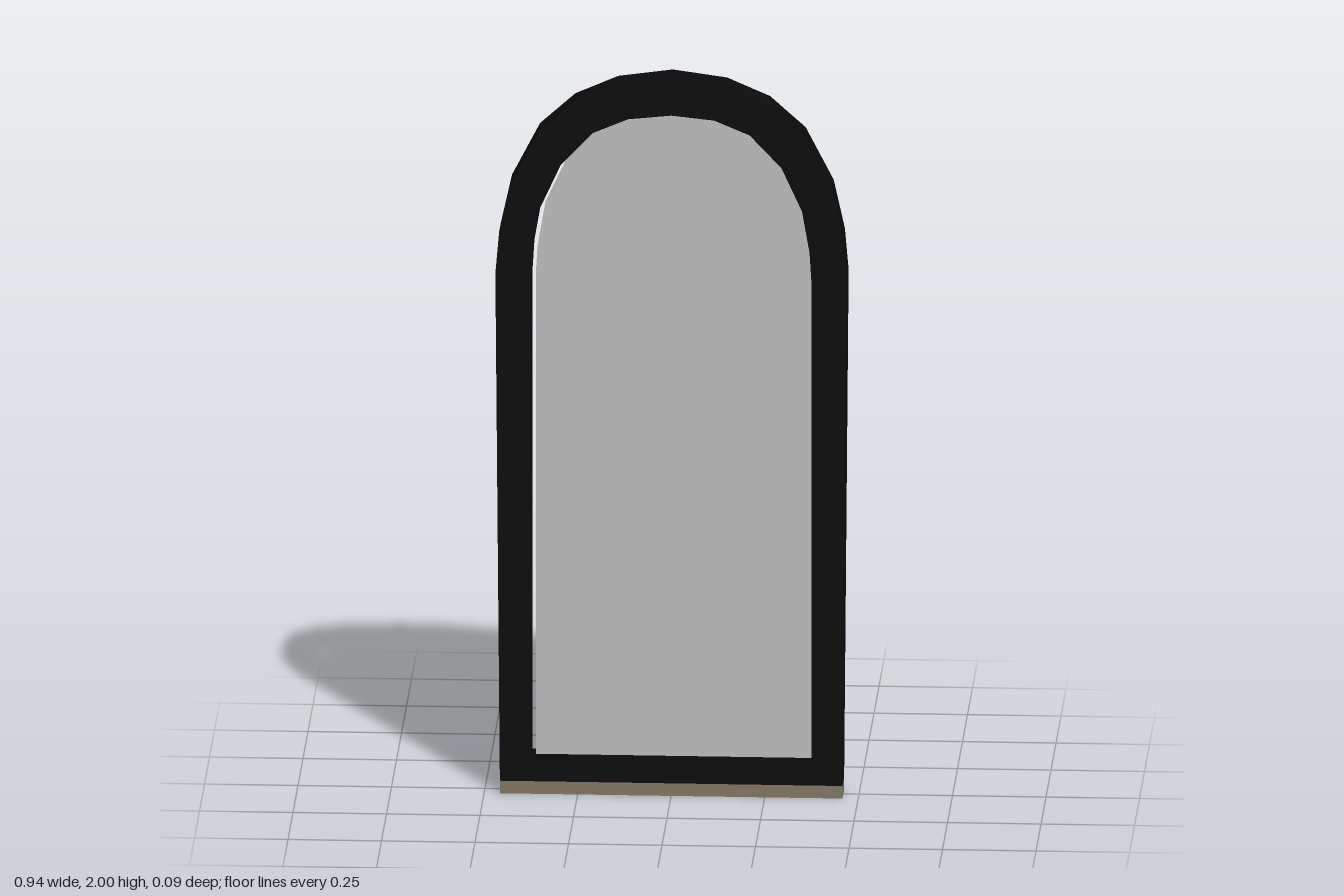
import * as THREE from 'three';

// Half outlines, from the base up to the crown of the arch
const OUTER = [[0.458, 0.035], [0.47, 1.45], [0.46, 1.565], [0.43, 1.7], [0.355, 1.845], [0.26, 1.93], [0.145, 1.98], [0, 2]];
const INNER = [[0.375, 0.1], [0.375, 1.44], [0.37, 1.52], [0.35, 1.635], [0.295, 1.755], [0.21, 1.845], [0.115, 1.885], [0, 1.897]];

// Mirror a half outline into a closed ring of points
function mirrored(half, dx = 0) {
  const right = half.map(([x, y]) => new THREE.Vector2(x + dx, y));
  const left = half.slice(0, -1).reverse().map(([x, y]) => new THREE.Vector2(-x + dx, y));
  return [...right, ...left];
}

// Flat extrusion centred on z = 0
function slab(shape, depth) {
  const geometry = new THREE.ExtrudeGeometry(shape, { depth, bevelEnabled: false });
  return geometry.translate(0, 0, -depth / 2);
}

export function createModel() {
  const group = new THREE.Group();
  const depth = 0.086;
  const frameBlack = new THREE.MeshStandardMaterial({ name: 'frame black', color: 0x0b0b0b });
  const paneGrey = new THREE.MeshStandardMaterial({ name: 'pane grey', color: 0xc0c0c0 });
  const sillTan = new THREE.MeshStandardMaterial({ name: 'sill tan', color: 0x857967 });

  const add = (name, geometry, material) => {
    const mesh = new THREE.Mesh(geometry, material);
    mesh.name = name;
    group.add(mesh);
    return mesh;
  };

  // Arched frame with an arched opening
  const frameShape = new THREE.Shape(mirrored(OUTER));
  frameShape.holes.push(new THREE.Path(mirrored(INNER)));
  add('frame', slab(frameShape, depth), frameBlack);

  // Thin pane at mid depth, set slightly to one side in the opening
  add('pane', slab(new THREE.Shape(mirrored(INNER, 0.011)), 0.008), paneGrey);

  // Sill strip under the frame
  add('sill', new THREE.BoxGeometry(0.916, 0.035, depth), sillTan).position.y = 0.0175;

  return group;
}
